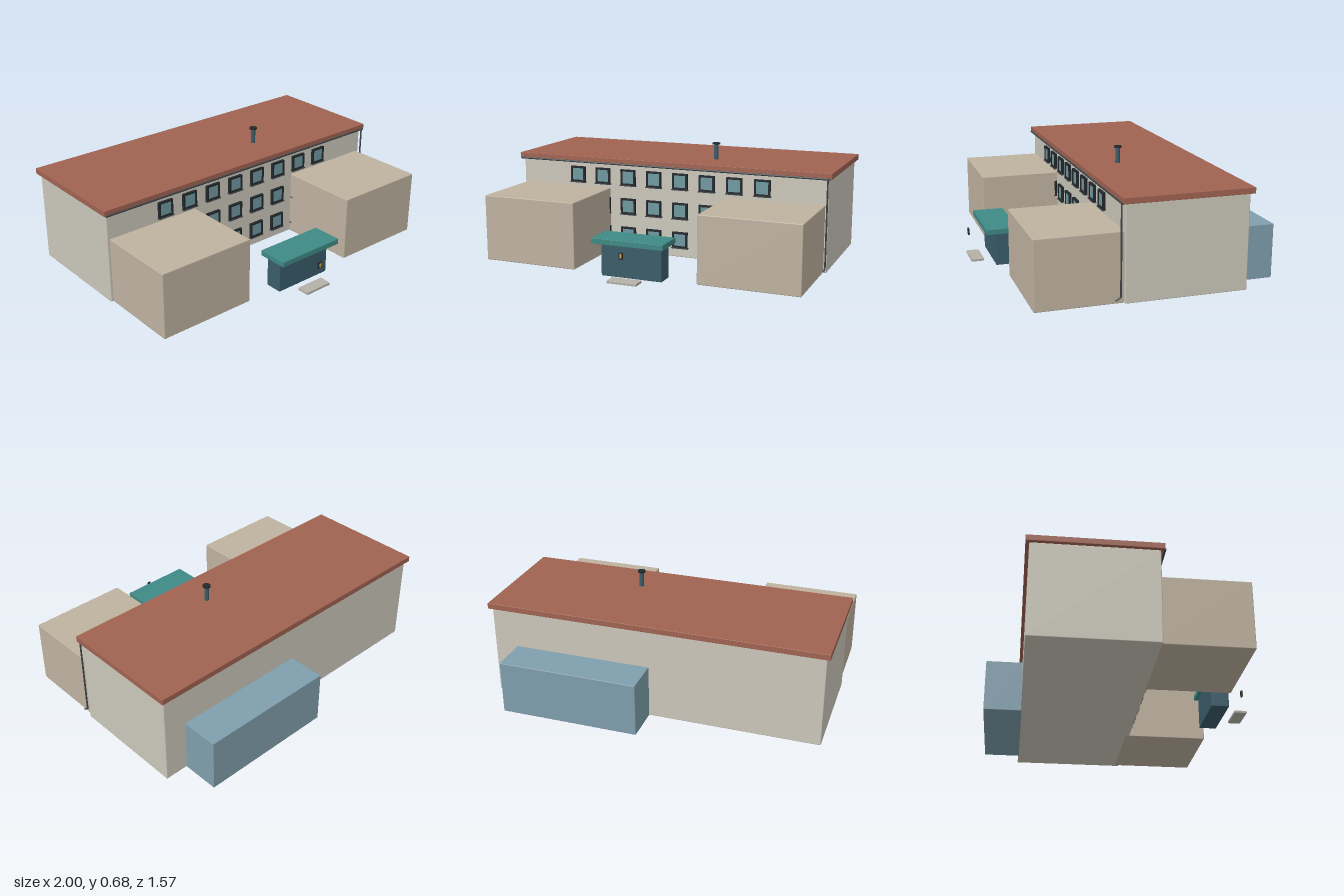
import * as THREE from 'three';
import { RoundedBoxGeometry } from 'three/addons/geometries/RoundedBoxGeometry.js';

const mat = (color) => new THREE.MeshStandardMaterial({ color });
const wall = mat(0xcbc7ba), sand = mat(0xbfb2a0), brick = mat(0xa06352), blue = mat(0x7f9eac);
const teal = mat(0x3f8985), slate = mat(0x3a5c69), dark = mat(0x23282b), glass = mat(0x6f98a0);
const stone = mat(0xb5b1a8), pipe = mat(0x3d4448), amber = mat(0xd9a441);

export function createModel() {
  const model = new THREE.Group();

  const add = (parent, name, geometry, material, x = 0, y = 0, z = 0) => {
    const mesh = new THREE.Mesh(geometry, material);
    mesh.name = name;
    mesh.position.set(x, y, z);
    parent.add(mesh);
    return mesh;
  };
  // Box given by its extents, with an optional softened edge
  const block = (parent, name, material, [x0, x1], [y0, y1], [z0, z1], bevel = 0) => {
    const size = [x1 - x0, y1 - y0, z1 - z0];
    const geometry = bevel ? new RoundedBoxGeometry(...size, 1, bevel) : new THREE.BoxGeometry(...size);
    return add(parent, name, geometry, material, (x0 + x1) / 2, (y0 + y1) / 2, (z0 + z1) / 2);
  };

  // Main volumes
  block(model, 'mainBuilding', wall, [-0.98, 0.98], [0, 0.546], [-0.567, 0.13], 0.005);
  block(model, 'roof', brick, [-1, 1], [0.545, 0.579], [-0.587, 0.15], 0.002);
  block(model, 'rightWing', sand, [-0.965, -0.378], [0, 0.393], [0.1, 0.615], 0.005);
  block(model, 'leftWing', sand, [0.375, 0.962], [0, 0.393], [0.1, 0.615], 0.005);
  block(model, 'rearAnnex', blue, [0.02, 0.84], [0, 0.315], [-0.787, -0.55], 0.003);

  // Window: four frame bars, recessed pane and sill
  const makeWindow = (x, y) => {
    const win = new THREE.Group();
    win.name = 'window';
    for (const s of [-1, 1]) {
      add(win, 'frameSide', new THREE.BoxGeometry(0.011, 0.096, 0.018), dark, s * 0.0425, 0, 0.007);
      add(win, 'frameRail', new THREE.BoxGeometry(0.074, 0.011, 0.018), dark, 0, s * 0.0425, 0.007);
    }
    add(win, 'pane', new THREE.BoxGeometry(0.075, 0.075, 0.012), glass, 0, 0, 0.004);
    add(win, 'sill', new THREE.BoxGeometry(0.104, 0.006, 0.022), pipe, 0, -0.05, 0.009);
    win.position.set(x, y, 0.13);
    model.add(win);
  };
  [0.466, 0.287, 0.108].forEach((y, row) => {
    const columns = row === 0 ? 4 : 3;
    for (let i = 0; i < columns; i++) {
      const x = 0.085 + i * 0.17;
      makeWindow(x, y);
      makeWindow(-x, y);
    }
  });

  // Entrance: porch, canopy, step and lamp
  const entrance = new THREE.Group();
  entrance.name = 'entrance';
  model.add(entrance);
  block(entrance, 'porch', slate, [-0.185, 0.183], [0, 0.198], [0.545, 0.65], 0.003);
  block(entrance, 'canopy', teal, [-0.218, 0.215], [0.197, 0.229], [0.525, 0.71], 0.002);
  block(entrance, 'step', stone, [-0.09, 0.088], [0.002, 0.017], [0.705, 0.78], 0.002);
  block(entrance, 'lampBody', dark, [-0.013, 0.011], [0.145, 0.184], [0.772, 0.783], 0.003);
  block(entrance, 'lampGlow', amber, [-0.007, 0.005], [0.152, 0.177], [0.78, 0.786], 0.002);

  // Chimney with cap
  add(model, 'chimney', new THREE.CylinderGeometry(0.013, 0.014, 0.1, 20), slate, 0.237, 0.62, -0.075);
  add(model, 'chimneyCap', new THREE.CylinderGeometry(0.023, 0.023, 0.01, 20), dark, 0.237, 0.674, -0.075);

  // Gutter along the front eave and the downpipe with its kicked-out foot
  const gutter = add(model, 'gutter', new THREE.CylinderGeometry(0.006, 0.006, 1.98, 10), pipe, 0, 0.546, 0.15);
  gutter.rotation.z = Math.PI / 2;
  const run = new THREE.CurvePath();
  const points = [[0.55, 0.152], [0.04, 0.152], [0.022, 0.182]].map(([y, z]) => new THREE.Vector3(0.977, y, z));
  run.add(new THREE.LineCurve3(points[0], points[1]));
  run.add(new THREE.LineCurve3(points[1], points[2]));
  add(model, 'downpipe', new THREE.TubeGeometry(run, 60, 0.005, 8), pipe).material.side = THREE.DoubleSide;

  return model;
}
